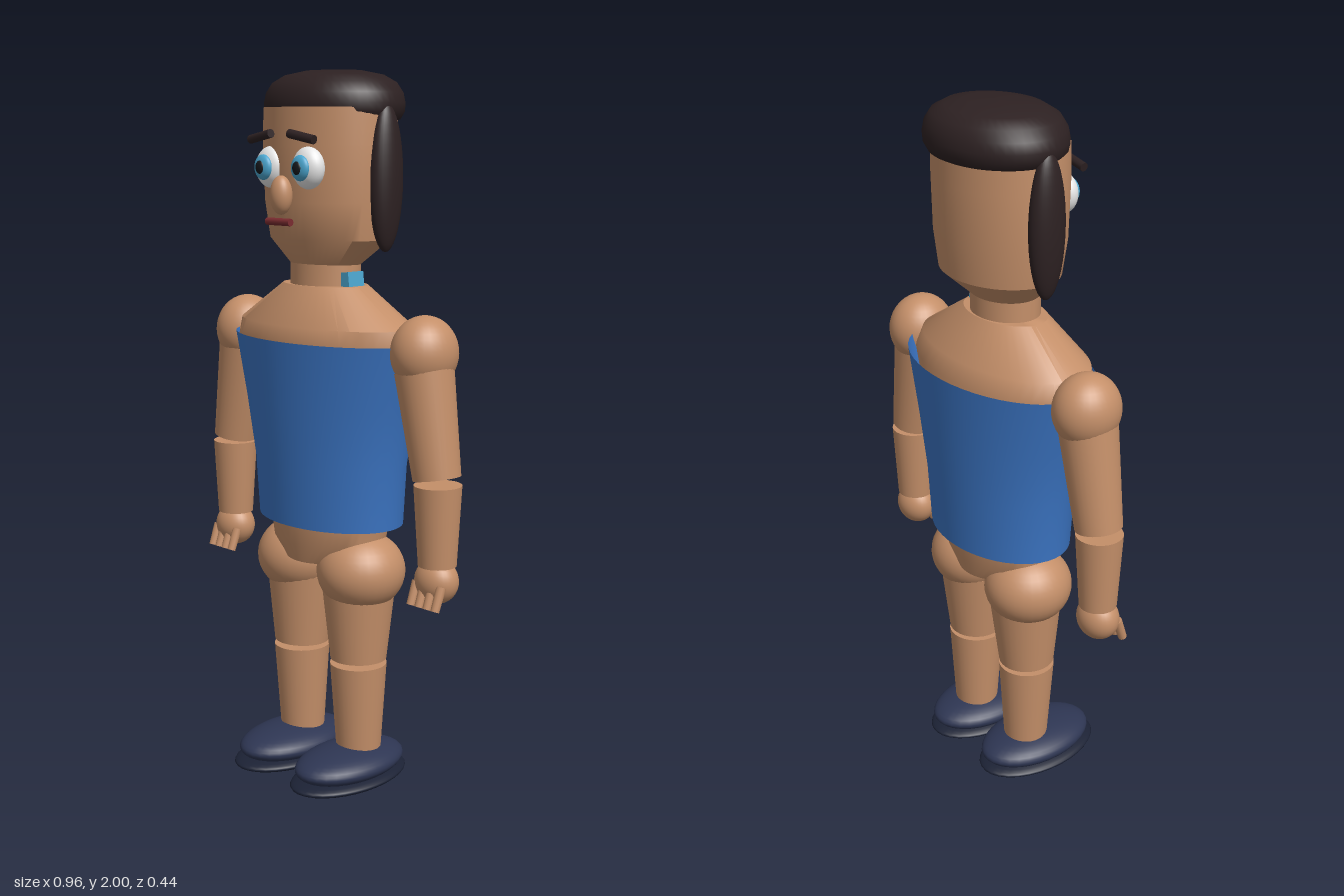
import * as THREE from 'three';
import { toCreasedNormals } from 'three/addons/utils/BufferGeometryUtils.js';

const mat = (name, color) => Object.assign(new THREE.MeshStandardMaterial({ color }), { name });

export function createModel() {
  const model = new THREE.Group();
  model.name = 'figure';
  const skin = mat('skin', 0xc48f69);
  const shirtBlue = mat('shirt blue', 0x3b74c2);
  shirtBlue.side = THREE.DoubleSide;
  const hairBrown = mat('hair brown', 0x2d2122);
  const shoeNavy = mat('shoe navy', 0x2e3653);
  const soleNavy = mat('sole navy', 0x1c2235);
  const eyeWhite = mat('eye white', 0xeeeeee);
  const irisBlue = mat('iris blue', 0x4ba6cf);
  const pupilBlack = mat('pupil black', 0x15181c);
  const lipRed = mat('lip red', 0x7a2c30);

  function add(name, geometry, material, x = 0, y = 0, z = 0) {
    const mesh = new THREE.Mesh(geometry, material);
    mesh.name = name;
    mesh.position.set(x, y, z);
    model.add(mesh);
    return mesh;
  }

  function ball(name, material, [x, y, z], [rx, ry, rz]) {
    return add(name, new THREE.SphereGeometry(1, 32, 20).scale(rx, ry, rz), material, x, y, z);
  }

  // Elliptical sections from top to bottom: [y, half width, half depth, centre z]
  function loft(name, material, rows, open = false) {
    const n = rows.length - 1;
    const geo = new THREE.CylinderGeometry(1, 1, 1, 48, n, open);
    const p = geo.attributes.position;
    for (let i = 0; i < p.count; i++) {
      const [y, a, b, cz] = rows[Math.round((0.5 - p.getY(i)) * n)];
      p.setXYZ(i, p.getX(i) * a, y, p.getZ(i) * b + cz);
    }
    return add(name, toCreasedNormals(geo, 0.6), material);
  }

  // Tapered round limb between two points
  function limb(name, material, from, to, r1, r2, sides = 32) {
    const a = new THREE.Vector3(...from), b = new THREE.Vector3(...to);
    const mesh = add(name, new THREE.CylinderGeometry(r1, r2, a.distanceTo(b), sides), material);
    mesh.position.copy(a).add(b).multiplyScalar(0.5);
    mesh.quaternion.setFromUnitVectors(new THREE.Vector3(0, 1, 0), a.sub(b).normalize());
    return mesh;
  }

  // Body and shirt
  loft('torso', skin, [
    [1.425, 0.14, 0.092, -0.003], [1.32, 0.3, 0.165, -0.005], [1.27, 0.315, 0.18, -0.012],
    [0.95, 0.225, 0.15, -0.02], [0.76, 0.19, 0.142, -0.02], [0.7, 0.182, 0.135, -0.02],
    [0.65, 0.12, 0.125, -0.02],
  ]);
  loft('shirt', shirtBlue, [
    [1.28, 0.325, 0.202, -0.02], [1.1, 0.28, 0.19, -0.021],
    [0.93, 0.247, 0.178, -0.022], [0.76, 0.238, 0.167, -0.023],
  ], true);
  loft('neck', skin, [[1.5, 0.106, 0.088, -0.003], [1.4, 0.106, 0.088, -0.003]]);
  add('neckStud', new THREE.BoxGeometry(0.045, 0.04, 0.058), irisBlue, 0.104, 1.443, 0.003).rotation.z = 0.12;

  // Head and hair
  loft('head', skin, [
    [1.9, 0.2, 0.164, -0.02], [1.8, 0.203, 0.165, -0.02], [1.65, 0.2, 0.16, -0.021],
    [1.55, 0.185, 0.148, -0.022], [1.48, 0.105, 0.088, -0.005],
  ]);
  const capProfile = [[0, 1.858], [0.8, 1.858], [0.93, 1.868], [0.99, 1.888], [1, 1.91],
    [0.97, 1.938], [0.88, 1.965], [0.7, 1.985], [0.4, 1.997], [0, 2]];
  const cap = new THREE.LatheGeometry(capProfile.map(([r, y]) => new THREE.Vector2(r, y)), 48);
  add('hairCap', cap.scale(0.212, 1, 0.172), hairBrown, 0, 0, -0.035);

  // Face centre
  ball('nose', skin, [0, 1.67, 0.16], [0.032, 0.052, 0.029]);
  limb('mouth', lipRed, [-0.046, 1.6, 0.168], [0.046, 1.6, 0.168], 0.01, 0.01, 12);

  for (const s of [1, -1]) {
    const side = s > 0 ? 'left' : 'right';

    // Side hair, eye and brow
    ball(side + 'SideHair', hairBrown, [s * 0.2, 1.715, -0.033], [0.037, 0.195, 0.054]);
    ball(side + 'Eye', eyeWhite, [s * 0.073, 1.742, 0.128], [0.051, 0.056, 0.036]);
    ball(side + 'Iris', irisBlue, [s * 0.073, 1.742, 0.158], [0.032, 0.034, 0.016]);
    ball(side + 'Pupil', pupilBlack, [s * 0.073, 1.742, 0.17], [0.016, 0.018, 0.008]);
    limb(side + 'Brow', hairBrown, [s * 0.125, 1.815, 0.157], [s * 0.036, 1.831, 0.163], 0.012, 0.012, 12);

    // Arm
    ball(side + 'Shoulder', skin, [s * 0.355, 1.265, -0.024], [0.087, 0.1, 0.096]);
    limb(side + 'UpperArm', skin, [s * 0.358, 1.22, -0.021], [s * 0.409, 0.937, -0.02], 0.08, 0.065);
    limb(side + 'Forearm', skin, [s * 0.413, 0.92, -0.02], [s * 0.415, 0.7, -0.02], 0.065, 0.052);
    ball(side + 'Hand', skin, [s * 0.415, 0.658, -0.018], [0.064, 0.062, 0.055]);
    for (let i = 0; i < 4; i++) {
      const x = s * (0.372 + i * 0.029);
      limb(side + 'Finger' + (i + 1), skin, [x, 0.655, 0.012], [x, 0.592, 0.036], 0.014, 0.012, 12);
    }

    // Leg
    ball(side + 'Hip', skin, [s * 0.125, 0.625, -0.022], [0.124, 0.112, 0.127]);
    limb(side + 'Thigh', skin, [s * 0.115, 0.58, -0.023], [s * 0.118, 0.366, -0.02], 0.104, 0.08);
    limb(side + 'Shin', skin, [s * 0.118, 0.352, -0.02], [s * 0.118, 0.08, -0.022], 0.081, 0.063);

    // Shoe
    ball(side + 'Shoe', shoeNavy, [s * 0.119, 0.064, 0.015], [0.116, 0.048, 0.186]);
    ball(side + 'Sole', soleNavy, [s * 0.12, 0.025, 0.02], [0.12, 0.025, 0.2]);
  }

  return model;
}
